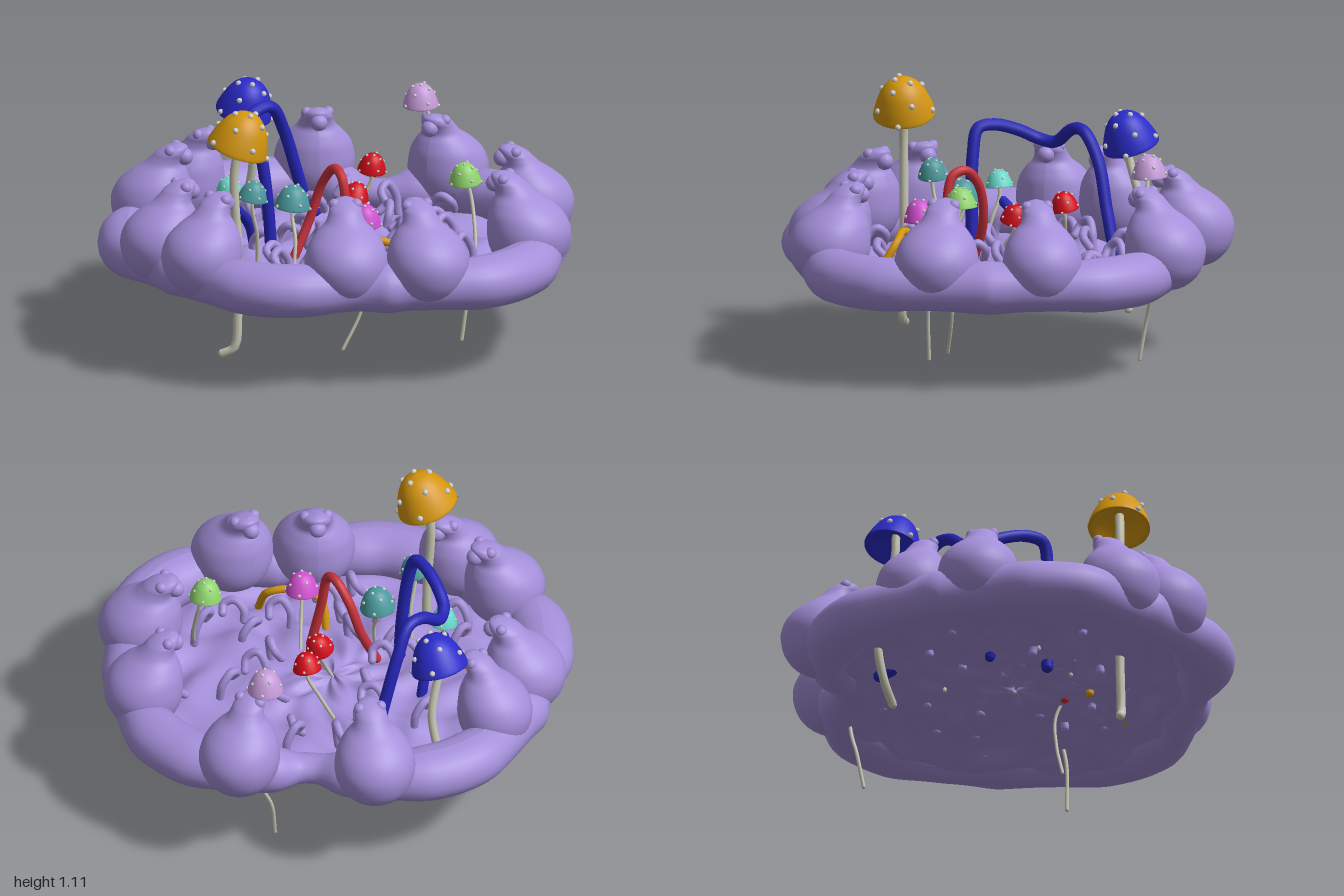
import * as THREE from 'three';

const V = (p) => new THREE.Vector3(...p);
const mat = (color, extra = {}) => new THREE.MeshStandardMaterial({ color, ...extra });
const purple = mat(0xa48fd9);
const purpleThin = mat(0xa48fd9, { side: THREE.DoubleSide });
const stemMat = mat(0xc6c6b4);
const dotMat = mat(0xcccccc);
const FLOOR = 0.36;

function add(parent, name, geometry, material, pos = [0, 0, 0]) {
  const m = new THREE.Mesh(geometry, material);
  m.name = name;
  m.position.set(...pos);
  parent.add(m);
  return m;
}

// Smooth tube through points, with rounded ends
function worm(parent, name, points, r, material, segs = 48) {
  const g = new THREE.Group();
  g.name = name;
  add(g, name + 'Body', new THREE.TubeGeometry(new THREE.CatmullRomCurve3(points.map(V)), segs, r, 10), material);
  for (const p of [points[0], points[points.length - 1]]) {
    add(g, name + 'End', new THREE.SphereGeometry(r, 10, 8), material, p);
  }
  parent.add(g);
  return g;
}

// Lathe profile smoothed through a few points
const smooth = (pts, n) => new THREE.SplineCurve(pts.map((p) => new THREE.Vector2(...p)))
  .getPoints(n).map((p) => new THREE.Vector2(Math.max(p.x, 0), p.y));

// Uneven centre line of the rim, as x, z
const ringPath = new THREE.CatmullRomCurve3([
  [-0.26, -0.75], [-0.55, -0.66], [-0.73, -0.47], [-0.81, -0.28], [-0.85, -0.08], [-0.87, 0.15],
  [-0.81, 0.38], [-0.65, 0.54], [-0.46, 0.69], [-0.3, 0.77], [-0.14, 0.81], [0.03, 0.78],
  [0.2, 0.71], [0.38, 0.66], [0.57, 0.61], [0.76, 0.47], [0.86, 0.25], [0.87, 0.05],
  [0.83, -0.15], [0.79, -0.38], [0.68, -0.57], [0.5, -0.71], [0.3, -0.76], [0.02, -0.7],
].map(([x, z]) => new THREE.Vector3(x, 0.44, z)), true);

// Bulbs as x, z, scale
const bulbs = [[-0.26, -0.79, 1], [0.31, -0.79, 1], [-0.72, -0.36, 0.93], [0.76, -0.36, 0.98], [-0.82, -0.08, 1],
  [0.82, 0.08, 1.04], [-0.67, 0.5, 1], [-0.46, 0.68, 1], [0.155, 0.68, 1.03], [0.49, 0.61, 1.02]];

// Rim tube: swells between the bulbs, pinches beside them, and thins at the back gap
function makeRim(parent) {
  const segs = 240, sides = 24;
  const geo = new THREE.TubeGeometry(ringPath, segs, 0.116, sides, true);
  const p = geo.attributes.position;
  for (let i = 0; i <= segs; i++) {
    const c = ringPath.getPointAt((i % segs) / segs);
    const near = Math.min(...bulbs.map(([x, z]) => Math.hypot(c.x - x, c.z - z)));
    const swell = THREE.MathUtils.smoothstep(near, 0.04, 0.24);
    const gap = 1 - 0.45 * (1 - THREE.MathUtils.smoothstep(Math.hypot(c.x - 0.02, c.z + 0.7), 0.03, 0.2));
    const wide = (0.8 + 0.3 * swell) * gap, tall = (0.85 + 0.12 * swell) * gap;
    for (let j = 0; j <= sides; j++) {
      const k = i * (sides + 1) + j;
      p.setXYZ(k, c.x + (p.getX(k) - c.x) * wide, c.y + (p.getY(k) - c.y) * tall - 0.03 * (1 - gap),
        c.z + (p.getZ(k) - c.z) * wide);
    }
  }
  geo.computeVertexNormals();
  add(parent, 'rim', geo, purple);
}

// Wrinkled floor stretched inside the rim
function makeFloor(parent) {
  const rings = 50, segs = 180, pos = [], idx = [];
  for (let i = 0; i <= rings; i++) {
    const t = i / rings;
    for (let j = 0; j <= segs; j++) {
      const p = ringPath.getPoint((j % segs) / segs);
      const a = Math.atan2(p.z, p.x), x = p.x * t, z = p.z * t;
      const fold = Math.sin(a * 9 + Math.sin(t * 8 + a * 2) * 2) * 0.014 * Math.min(1, t * 2)
        + Math.sin(x * 17 + Math.sin(z * 11) * 2) * 0.008
        + Math.sin(t * 23 + Math.sin(a * 4) * 2.4) * 0.01;
      pos.push(x, FLOOR + 0.025 * (1 - t * t) + fold * Math.min(1, (1 - t) * 6), z);
      if (i < rings && j < segs) {
        const k = i * (segs + 1) + j, n = k + segs + 1;
        idx.push(k, k + 1, n, k + 1, n + 1, n);
      }
    }
  }
  const g = new THREE.BufferGeometry();
  g.setAttribute('position', new THREE.Float32BufferAttribute(pos, 3));
  g.setIndex(idx);
  g.computeVertexNormals();
  add(parent, 'wrinkledFloor', g, purpleThin);
}

// Round bulb whose neck leans toward the middle and ends in a knobbly head
const bulbProfile = smooth([[0, -0.17], [0.085, -0.147], [0.147, -0.085], [0.17, 0], [0.155, 0.08],
  [0.118, 0.135], [0.083, 0.17], [0.07, 0.2], [0.064, 0.225], [0.042, 0.25], [0, 0.262]], 40);

function makeBulb(parent, x, z, scale) {
  const g = new THREE.Group();
  g.name = 'rimBulb';
  const geo = new THREE.LatheGeometry(bulbProfile, 32);
  const p = geo.attributes.position;
  for (let i = 0; i < p.count; i++) {
    const h = Math.max(0, p.getY(i));
    p.setZ(i, p.getZ(i) + 1.8 * h * h);
  }
  geo.computeVertexNormals();
  add(g, 'bulbBody', geo, purple);
  add(g, 'bulbSnout', new THREE.SphereGeometry(0.036, 16, 12), purple, [0, 0.205, 0.145]);
  for (const s of [-1, 1]) {
    add(g, 'bulbKnob', new THREE.SphereGeometry(0.024, 14, 10), purple, [s * 0.045, 0.235, 0.095]);
  }
  g.position.set(x, 0.53, z);
  g.rotation.y = Math.atan2(-x, -z);
  g.scale.set(scale, 1, scale);
  parent.add(g);
}

// Bell cap: hollow underside, rim, then dome; one unit in radius
const domePoints = [[1, 0], [0.99, 0.12], [0.87, 0.5], [0.66, 0.93], [0.36, 1.22], [0, 1.32]];
const dome = new THREE.SplineCurve(domePoints.map((p) => new THREE.Vector2(...p)));
const capProfile = [...smooth([[0, 0.6], [0.5, 0.4], [0.9, 0.02]], 8), ...smooth(domePoints, 20)];

function mushroom(parent, name, color, base, r, lean, stem, stemR) {
  const g = new THREE.Group();
  g.name = name;
  const cap = new THREE.Group();
  cap.name = name + 'Cap';
  add(cap, 'capDome', new THREE.LatheGeometry(capProfile, 32), mat(color));
  for (let i = 0; i < 12; i++) {
    const q = dome.getPoint(0.14 + (i / 12) * 0.8), a = i * 2.4;
    add(cap, 'capSpot', new THREE.SphereGeometry(0.1, 10, 8), dotMat,
      [q.x * Math.cos(a), q.y, q.x * Math.sin(a)]);
  }
  cap.position.set(...base);
  cap.scale.setScalar(r);
  cap.quaternion.setFromUnitVectors(new THREE.Vector3(0, 1, 0), V(lean).normalize());
  g.add(cap);
  const top = V(base).addScaledVector(V(lean).normalize(), r * 0.6).toArray();
  worm(g, name + 'Stem', [top, ...stem], stemR, stemMat, 32);
  parent.add(g);
}

export function createModel() {
  const root = new THREE.Group();
  root.name = 'mushroomGarden';

  makeFloor(root);
  makeRim(root);
  bulbs.forEach((b) => makeBulb(root, ...b));

  // Curled tendrils scattered on the floor
  const curls = [[0.35, -0.5], [0.1, -0.42], [0.36, -0.32], [-0.18, -0.37], [-0.1, -0.52], [-0.4, -0.28],
    [-0.18, -0.2], [-0.17, -0.07], [0.43, -0.16], [0.32, -0.1], [0.24, 0.04], [0.38, 0.22], [0.46, 0.33],
    [-0.56, 0.08], [-0.5, 0.22], [-0.48, 0.33], [-0.02, 0.34], [-0.22, 0.26], [0.08, 0.46], [-0.05, 0.53],
    [0.58, 0.2], [0.26, 0.3], [0.62, -0.22], [-0.6, -0.16], [-0.2, 0.05], [-0.07, 0.22], [0.12, -0.52],
    [-0.3, 0.1], [0.2, -0.2], [-0.16, 0.42]];
  curls.forEach(([x, z], i) => {
    const s = 0.9 + 0.25 * Math.sin(i * 5.1), h = 0.14 * s;
    const c = worm(root, 'tendril', [[-0.05, 0.01, 0], [-0.05, h * 0.6, 0.01], [-0.01, h, 0.03],
      [0.035, h * 0.8, 0.03], [0.04, h * 0.5, 0]], 0.018, purple, 16);
    c.position.set(x, FLOOR + 0.015, z);
    c.rotation.y = i * 2.1;
  });

  // Tall mushrooms whose stems hang below the floor
  mushroom(root, 'orangeMushroom', 0xd4960f, [-0.35, 0.945, 0.47], 0.13, [0.35, 1, 0],
    [[-0.36, 0.85, 0.475], [-0.345, 0.5, 0.47], [-0.345, 0.25, 0.475], [-0.36, 0.08, 0.48], [-0.41, 0.052, 0.48]], 0.019);
  mushroom(root, 'blueMushroom', 0x2b2bcc, [-0.5, 0.82, -0.47], 0.12, [0.28, 1, 0.22],
    [[-0.49, 0.78, -0.46], [-0.47, 0.6, -0.51], [-0.5, 0.38, -0.53], [-0.47, 0.22, -0.505], [-0.415, 0.14, -0.475]], 0.018);
  mushroom(root, 'lilacMushroom', 0xc49ad8, [0.21, 0.82, -0.7], 0.075, [0, 1, 0.05],
    [[0.25, 0.76, -0.7], [0.27, 0.55, -0.72], [0.23, 0.33, -0.71], [0.185, 0.2, -0.68], [0.175, 0.04, -0.65]], 0.008);
  mushroom(root, 'greenMushroom', 0x8fd46c, [0.54, 0.72, 0.035], 0.068, [-0.05, 1, 0.1],
    [[0.57, 0.65, 0.05], [0.6, 0.45, 0.13], [0.58, 0.3, 0.165], [0.55, 0.075, 0.17]], 0.008);
  mushroom(root, 'magentaMushroom', 0xd050d0, [0.16, 0.59, 0.29], 0.07, [0, 1, 0.1],
    [[0.16, 0.5, 0.25], [0.15, 0.32, 0.16], [0.12, 0.17, 0.165], [0.05, 0.012, 0.197]], 0.007);

  // Short mushrooms rooted in the floor
  const red = 0xd40d1c, teal = 0x4b9a9e;
  const small = [
    ['redMushroom', red, [0.075, 0.645, -0.31], 0.06, [0.15, 1, 0.15], [-0.04, -0.29]],
    ['redMushroom', red, [0.045, 0.58, -0.085], 0.06, [0.2, 1, -0.2], [0.0, 0.0]],
    ['tealMushroom', teal, [-0.17, 0.615, 0.18], 0.075, [0.1, 1, 0], [-0.15, 0.25]],
    ['tealMushroom', teal, [-0.31, 0.69, 0.34], 0.062, [0.2, 1, 0], [-0.3, 0.28]],
    ['turquoiseMushroom', 0x66d8c8, [-0.455, 0.63, 0.085], 0.058, [-0.1, 1, 0.1], [-0.42, 0.14]],
  ];
  for (const [name, color, base, r, lean, [fx, fz]] of small) {
    const [x, y, z] = base;
    mushroom(root, name, color, base, r, lean,
      [[x, y - 0.04, z], [(x + fx) / 2 + 0.01, (y + FLOOR) / 2, (z + fz) / 2], [fx, FLOOR + 0.01, fz]], 0.008);
  }

  // Arching coloured worms
  const blue = mat(0x2525b8);
  worm(root, 'blueWorm', [[-0.21, 0.37, -0.55], [-0.225, 0.41, -0.47], [-0.26, 0.57, -0.42], [-0.31, 0.78, -0.37],
    [-0.35, 0.9, -0.3], [-0.4, 0.9, -0.24], [-0.465, 0.83, -0.15], [-0.475, 0.84, -0.08], [-0.44, 0.88, 0], [-0.38, 0.91, 0.09],
    [-0.33, 0.9, 0.15], [-0.3, 0.8, 0.165], [-0.275, 0.6, 0.165], [-0.26, 0.36, 0.16]], 0.026, blue, 110);
  worm(root, 'shortBlueWorm', [[-0.38, 0.36, -0.07], [-0.395, 0.46, -0.04], [-0.43, 0.54, 0.03], [-0.46, 0.57, 0.07]], 0.022, blue);
  worm(root, 'redWorm', [[-0.17, 0.385, 0.13], [-0.11, 0.55, 0.08], [-0.06, 0.7, 0.085], [0, 0.78, 0.13],
    [0.04, 0.76, 0.18], [0.07, 0.6, 0.2], [0.115, 0.385, 0.2]], 0.02, mat(0xc8323c), 60);
  worm(root, 'orangeWorm', [[0.06, 0.38, 0.31], [0.09, 0.51, 0.345], [0.2, 0.545, 0.36], [0.31, 0.52, 0.36],
    [0.36, 0.38, 0.44]], 0.017, mat(0xd4960f));
  return root;
}
